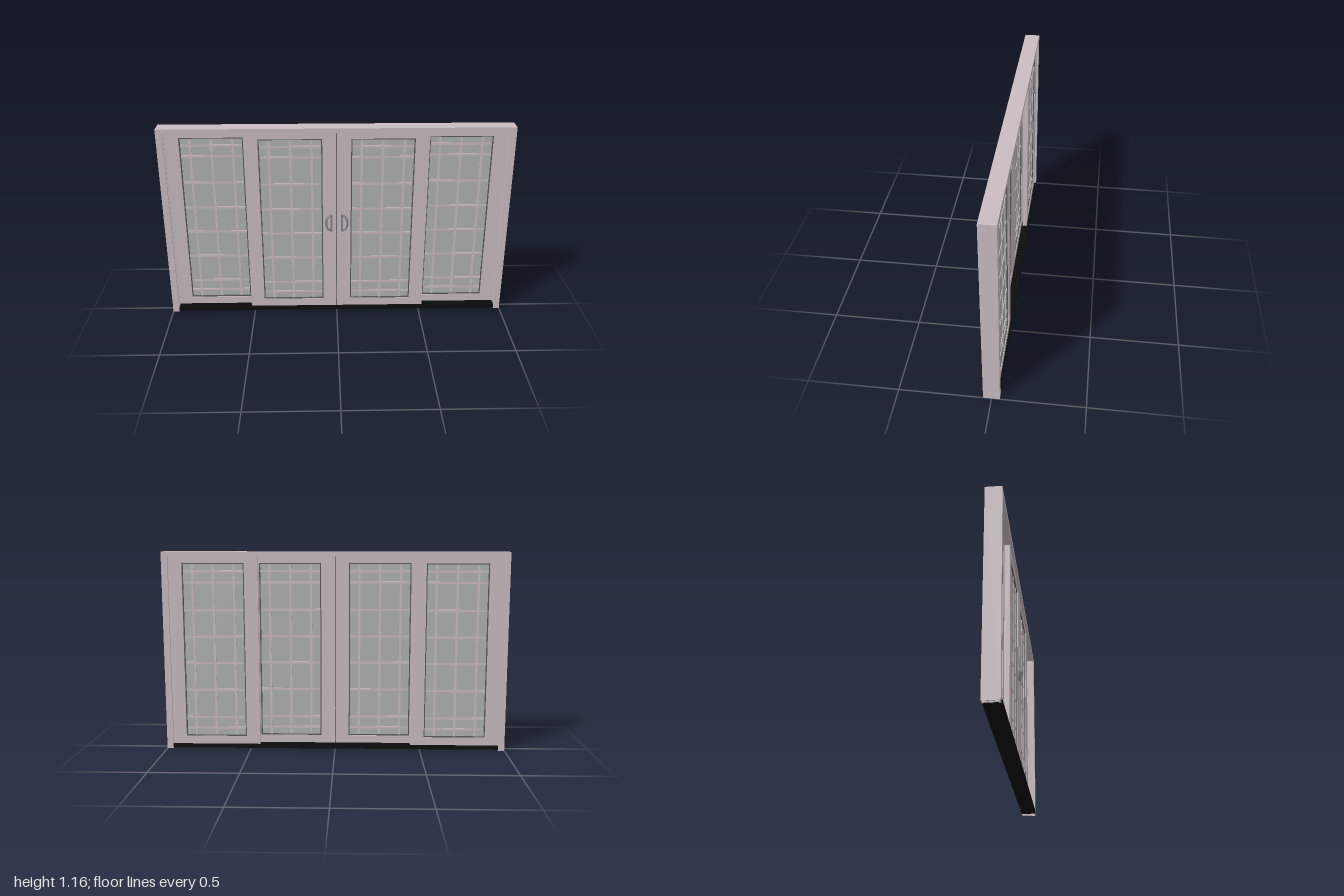
import * as THREE from 'three';

const mat = (color) => new THREE.MeshStandardMaterial({ color });
const frameMat = mat(0xc9bcc0);
const glassMat = mat(0xb0b2b2);
const sealMat = mat(0x5a5a5a);
const sillMat = mat(0x0c0c0c);
const handleMat = mat(0x85858a);

const TOP = 1.165, DEPTH = 0.045, JAMB = 0.037;

function add(parent, name, geometry, material) {
  const mesh = new THREE.Mesh(geometry, material);
  mesh.name = name;
  parent.add(mesh);
  return mesh;
}

// Box given by its limits
function box(parent, name, material, x0, x1, y0, y1, z0, z1) {
  const mesh = add(parent, name, new THREE.BoxGeometry(x1 - x0, y1 - y0, z1 - z0), material);
  mesh.position.set((x0 + x1) / 2, (y0 + y1) / 2, (z0 + z1) / 2);
  return mesh;
}

const polygon = (points) => new THREE.Shape(points.map(([x, y]) => new THREE.Vector2(x, y)));

function rectPath(x0, x1, y0, y1, Type = THREE.Path) {
  return new Type([[x0, y0], [x1, y0], [x1, y1], [x0, y1]].map(([x, y]) => new THREE.Vector2(x, y)));
}

// Flat rectangular ring, centred on z = 0
function ring(parent, name, material, outer, inner, thickness) {
  const shape = rectPath(...outer, THREE.Shape);
  shape.holes.push(rectPath(...inner));
  const geometry = new THREE.ExtrudeGeometry(shape, { depth: thickness, bevelEnabled: false });
  return add(parent, name, geometry.translate(0, 0, -thickness / 2), material);
}

// One glazed panel: stiles and rails, seal, glass and glazing bars
function panel(name, x0, z) {
  const group = new THREE.Group();
  group.name = name;
  const x1 = x0 + 0.52, gx0 = x0 + 0.08, gx1 = x1 - 0.08, gy0 = 0.075, gy1 = 1.1;
  const opening = [gx0, gx1, gy0, gy1], s = 0.006;
  ring(group, 'panelFrame', frameMat, [x0, x1, 0.028, 1.142], opening, 0.03);
  ring(group, 'glassSeal', sealMat, opening, [gx0 + s, gx1 - s, gy0 + s, gy1 - s], 0.022);
  box(group, 'glass', glassMat, gx0, gx1, gy0, gy1, -0.004, 0.004);
  const middle = (x0 + x1) / 2, w = 0.0065;
  for (const dx of [-0.12, 0, 0.12]) {
    box(group, 'verticalBar', frameMat, middle + dx - w, middle + dx + w, gy0 + s, gy1 - s, -0.008, 0.008);
  }
  for (const y of [0.123, 0.188, 0.354, 0.515, 0.671, 0.827, 0.988, 1.052]) {
    box(group, 'horizontalBar', frameMat, gx0 + s, gx1 - s, y - w, y + w, -0.0075, 0.0075);
  }
  group.position.z = z;
  return group;
}

// D-shaped pull with its straight side near the meeting stiles
function handle(side) {
  const group = new THREE.Group();
  group.name = side > 0 ? 'leftHandle' : 'rightHandle';
  const dShape = (Type, x, rx, ry) => {
    const path = new Type();
    path.moveTo(x, -ry);
    path.absellipse(x, 0, rx, ry, -Math.PI / 2, Math.PI / 2, false);
    path.closePath();
    return path;
  };
  const plate = dShape(THREE.Shape, 0, 0.045, 0.055);
  plate.holes.push(dShape(THREE.Path, 0.012, 0.022, 0.04));
  add(group, 'handlePlate', new THREE.ExtrudeGeometry(plate, { depth: 0.006, bevelEnabled: false, curveSegments: 16 }), handleMat);
  const bow = new THREE.CatmullRomCurve3([
    [0.01, -0.048, 0.003], [0.028, -0.035, 0.01], [0.036, 0, 0.013], [0.028, 0.035, 0.01], [0.01, 0.048, 0.003],
  ].map((p) => new THREE.Vector3(...p)));
  add(group, 'handleGrip', new THREE.TubeGeometry(bow, 20, 0.0045, 8), handleMat);
  // Turning the left one half way round keeps the faces outward
  if (side < 0) group.rotation.z = Math.PI;
  group.position.set(side * 0.024, 0.585, 0.031);
  return group;
}

export function createModel() {
  const model = new THREE.Group();
  model.name = 'slidingPatioDoor';

  // Hollow jambs, grooved on the inner side to take the panels
  for (const side of [-1, 1]) {
    const g = 1 - JAMB;
    const profile = polygon([
      [1, -DEPTH], [1, DEPTH], [g, DEPTH], [g, 0.034], [g + 0.01, 0.034], [g + 0.01, 0.003],
      [g, 0.003], [g, -0.001], [g + 0.005, -0.001], [g + 0.005, -0.036], [g, -0.036], [g, -DEPTH],
    ]);
    for (const [z0, z1] of [[-0.04, -0.016], [-0.012, 0.012], [0.016, 0.04]]) {
      profile.holes.push(rectPath(0.978, 0.996, z0, z1));
    }
    const geometry = new THREE.ExtrudeGeometry(profile, { depth: TOP - 0.004, bevelEnabled: false });
    geometry.rotateX(-Math.PI / 2);
    const jamb = add(model, side > 0 ? 'leftJamb' : 'rightJamb', geometry, frameMat);
    if (side < 0) jamb.rotation.y = Math.PI;
    // The turned profile is flipped in z, which keeps the outer silhouette
  }

  // Head with downward lips that form the two top tracks
  box(model, 'head', frameMat, -1, 1, 1.148, TOP, -DEPTH, DEPTH);
  for (const [z0, z1] of [[-DEPTH, -0.036], [-0.003, 0.002], [0.036, DEPTH]]) {
    box(model, 'headLip', frameMat, -1 + JAMB, 1 - JAMB, 1.138, 1.15, z0, z1);
  }

  // Sill with raised tracks
  const sx = 1 - JAMB;
  box(model, 'sill', sillMat, -sx, sx, 0.006, 0.022, -DEPTH, DEPTH);
  for (const [z0, z1] of [[-DEPTH, -0.039], [-0.022, -0.016], [-0.002, 0.002], [0.016, 0.022], [0.039, DEPTH]]) {
    box(model, 'sillTrack', sillMat, -sx, sx, 0.02, 0.03, z0, z1);
  }

  // Fixed outer panels sit behind the sliding inner pair
  model.add(panel('rightFixedPanel', -0.965, -0.018));
  model.add(panel('rightSlidingPanel', -0.521, 0.017));
  model.add(panel('leftSlidingPanel', 0.001, 0.017));
  model.add(panel('leftFixedPanel', 0.445, -0.018));

  for (const side of [-1, 1]) model.add(handle(side));
  return model;
}
